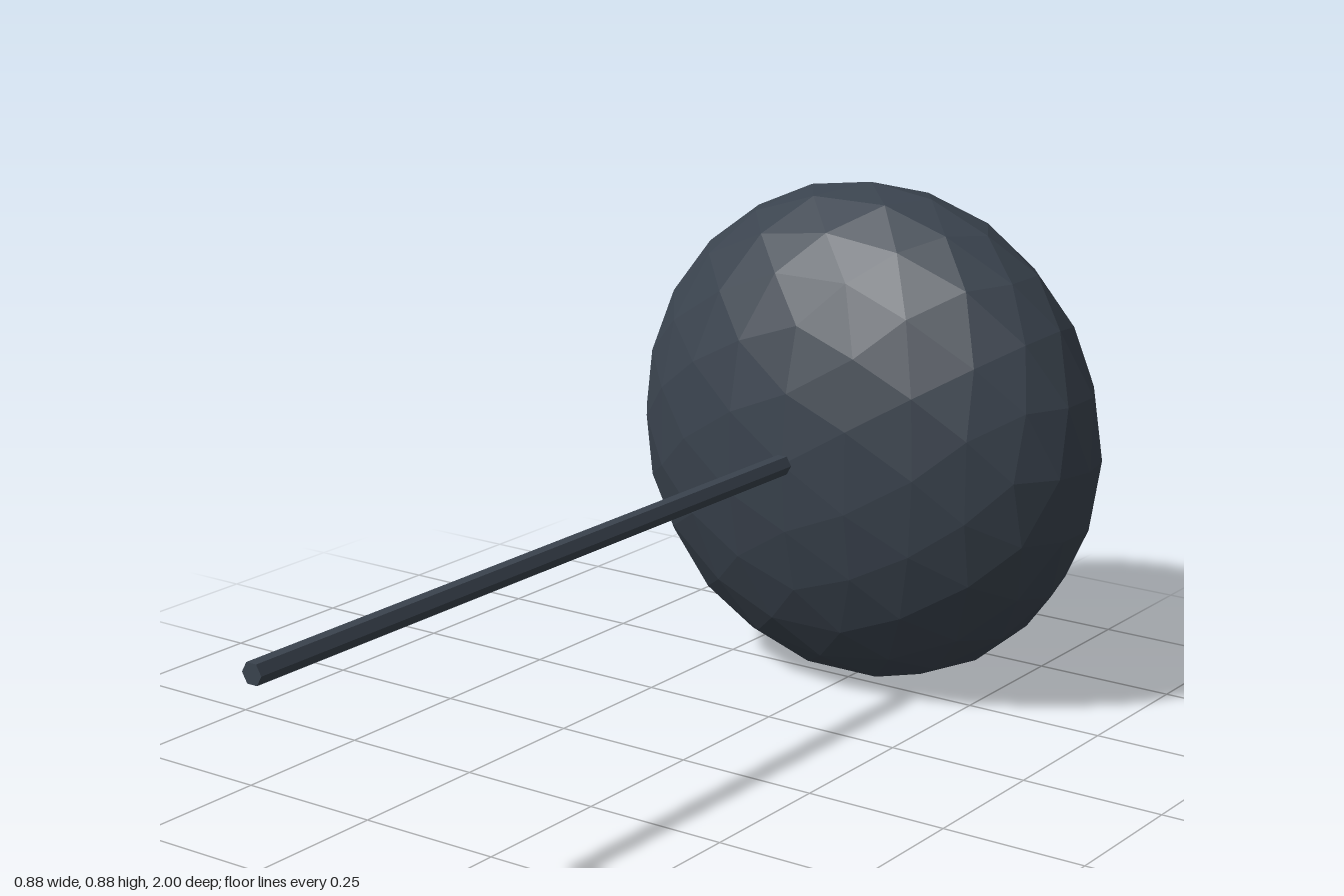
import * as THREE from 'three';

// Geodesic sphere: icosahedron halved twice, each step pushed back onto the sphere
function geodesicSphere() {
  const coarse = new THREE.IcosahedronGeometry(1, 1).attributes.position;
  const corners = Array.from(coarse.array);
  const order = Array.from({ length: coarse.count }, (_, i) => i);
  return new THREE.PolyhedronGeometry(corners, order, 1, 1);
}

export function createModel() {
  const group = new THREE.Group();
  const axisY = 0.442;
  const dark = new THREE.MeshStandardMaterial({ color: 0x3a434e, flatShading: true });
  const tan = new THREE.MeshStandardMaterial({ color: 0xe8c993, flatShading: true });

  const add = (name, geometry, material, z) => {
    const mesh = new THREE.Mesh(geometry, material);
    mesh.name = name;
    mesh.position.set(0, axisY, z);
    group.add(mesh);
  };

  // Flattened main body and the smaller pale cap behind it
  add('body', geodesicSphere().scale(0.441, 0.441, 0.265), dark, -0.547);
  add('backCap', geodesicSphere().scale(0.22, 0.22, 0.154), tan, -0.846);

  // Thin six-sided rod pointing forward, rooted inside the body
  const front = 1, root = -0.35;
  const rod = new THREE.CylinderGeometry(0.018, 0.018, front - root, 6)
    .rotateY(Math.PI / 6)
    .rotateX(Math.PI / 2);
  add('rod', rod, dark, (front + root) / 2);

  return group;
}
